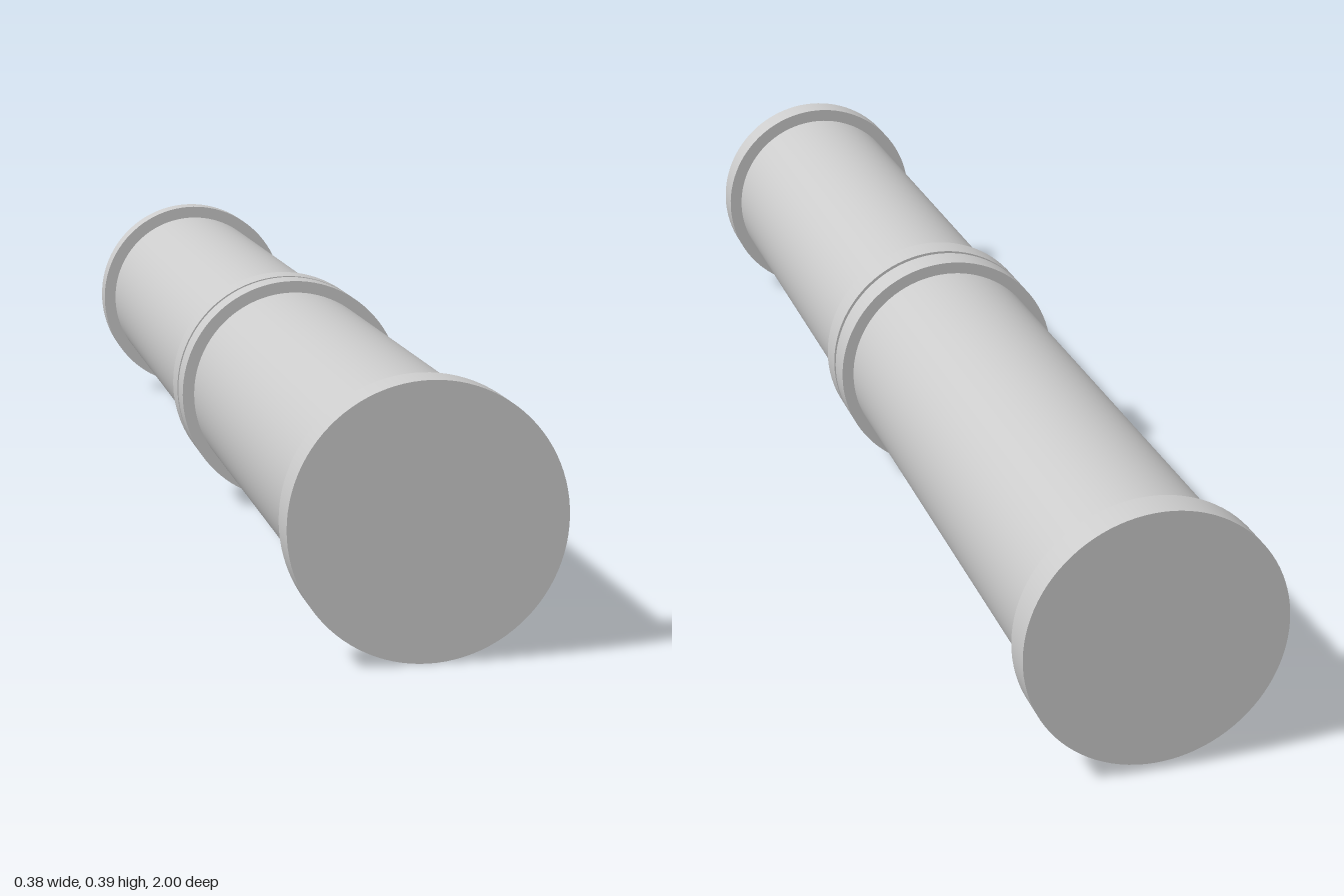
import * as THREE from 'three';

const material = new THREE.MeshStandardMaterial({ color: 0xcccccc });

// Capped cylinder along z, from z0 to z1
function drum(name, radius, z0, z1) {
  const geometry = new THREE.CylinderGeometry(radius, radius, z1 - z0, 96);
  geometry.rotateX(Math.PI / 2);
  geometry.translate(0, 0, (z0 + z1) / 2);
  const mesh = new THREE.Mesh(geometry, material);
  mesh.name = name;
  return mesh;
}

export function createModel() {
  const model = new THREE.Group();
  model.name = 'flangedPipe';

  const pipe = new THREE.Group();
  pipe.name = 'pipe';
  pipe.add(
    // Long shaft running through all the flanges
    drum('shaft', 0.165, -0.97, 0.97),
    // Wide end flanges
    drum('frontEndFlange', 0.1875, 0.946, 0.999),
    drum('backEndFlange', 0.1875, -0.999, -0.95),
    // Pair of flanges meeting at the joint, with a narrow gap between
    drum('frontJointFlange', 0.184, 0.056, 0.104),
    drum('backJointFlange', 0.184, -0.003, 0.046)
  );

  // The pipe falls slightly towards the front
  pipe.rotation.x = 0.0055;
  pipe.position.y = 0.193;
  model.add(pipe);
  return model;
}
